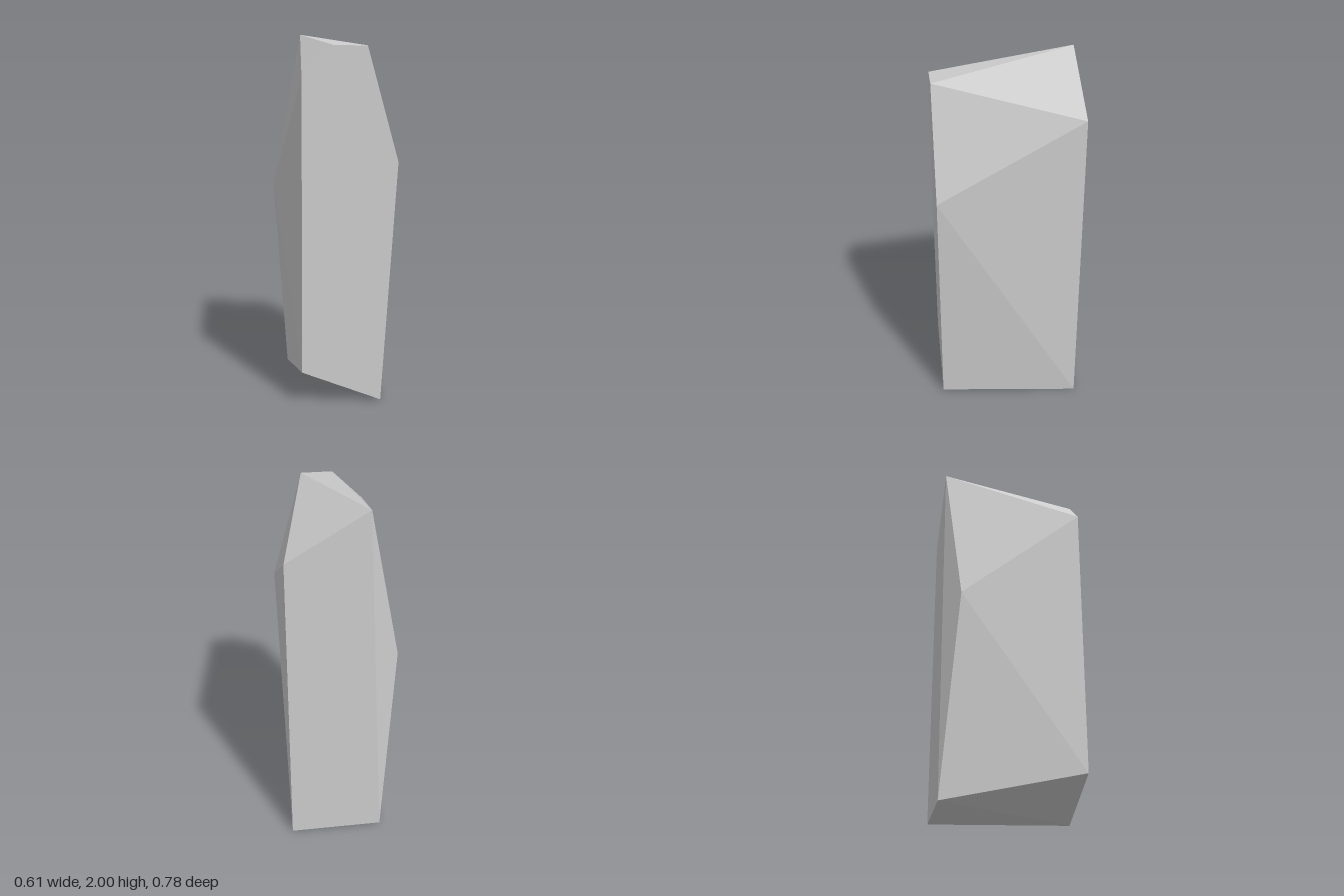
import * as THREE from 'three';
import { ConvexGeometry } from 'three/addons/geometries/ConvexGeometry.js';

// A faceted standing stone: the convex hull of its corner points.
export function createModel() {
  const group = new THREE.Group();
  group.name = 'standingStone';

  const corners = [
    // front outline, counter-clockwise from lower left
    [-0.22, 0.18, 0.39], [0.21, 0.005, 0.39], [0.298, 1.31, 0.388],
    [0.13, 1.915, 0.387], [-0.045, 1.915, 0.387], [-0.215, 1.75, 0.388],
    // back outline: base, right shoulder, peak
    [-0.22, 0, -0.388], [0.298, 0, -0.388],
    [0.302, 1.74, -0.393], [-0.13, 2, -0.394],
    // bulge on the side near the back
    [-0.305, 1.13, -0.306],
  ].map((p) => new THREE.Vector3(...p));

  const stone = new THREE.Mesh(
    new ConvexGeometry(corners),
    new THREE.MeshStandardMaterial({ color: 0xcccccc, flatShading: true })
  );
  stone.name = 'stone';
  group.add(stone);
  return group;
}
